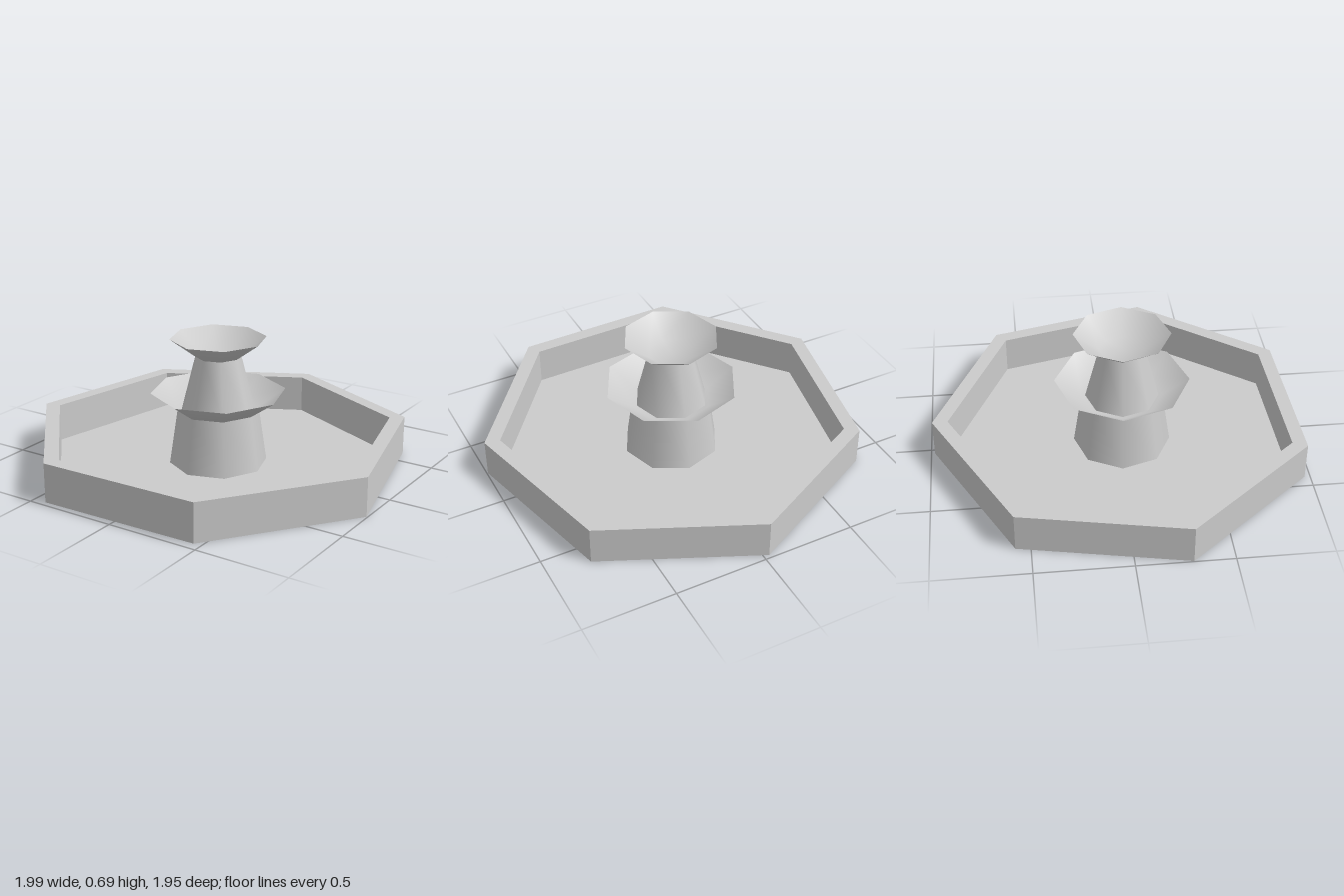
import * as THREE from 'three';

// Revolve a [radius, height] profile into a low-sided solid
function turned(name, profile, sides, turn, options = {}) {
  const points = profile.map(([r, y]) => new THREE.Vector2(r, y));
  const geometry = new THREE.LatheGeometry(points, sides, turn);
  const material = new THREE.MeshStandardMaterial({ color: 0xcccccc, ...options });
  const mesh = new THREE.Mesh(geometry, material);
  mesh.name = name;
  return mesh;
}

export function createModel() {
  const fountain = new THREE.Group();
  fountain.name = 'fountain';
  const basinTurn = Math.PI + 0.0235;
  const towerTurn = Math.PI - 0.083;

  // Seven-sided basin: underside, outer wall, rim, inner wall, floor
  fountain.add(turned('basin', [
    [0, 0], [1.021, 0], [1.021, 0.21], [0.938, 0.21], [0.938, 0.005], [0, 0.005],
  ], 7, basinTurn, { flatShading: true }));

  // Eight-sided tapering columns
  fountain.add(turned('lowerColumn', [[0.262, 0.005], [0.218, 0.302]], 8, towerTurn));
  fountain.add(turned('upperColumn', [[0.197, 0.302], [0.122, 0.597]], 8, towerTurn));

  // Thin flared bowls, seen from inside and below
  const thin = { side: THREE.DoubleSide };
  fountain.add(turned('lowerBowl', [[0, 0.302], [0.218, 0.302], [0.361, 0.402]], 8, towerTurn, thin));
  fountain.add(turned('upperBowl', [[0, 0.597], [0.122, 0.597], [0.257, 0.695]], 8, towerTurn, thin));

  // Centre the footprint
  fountain.children.forEach((part) => part.position.set(-0.006, 0, 0.04));
  return fountain;
}
